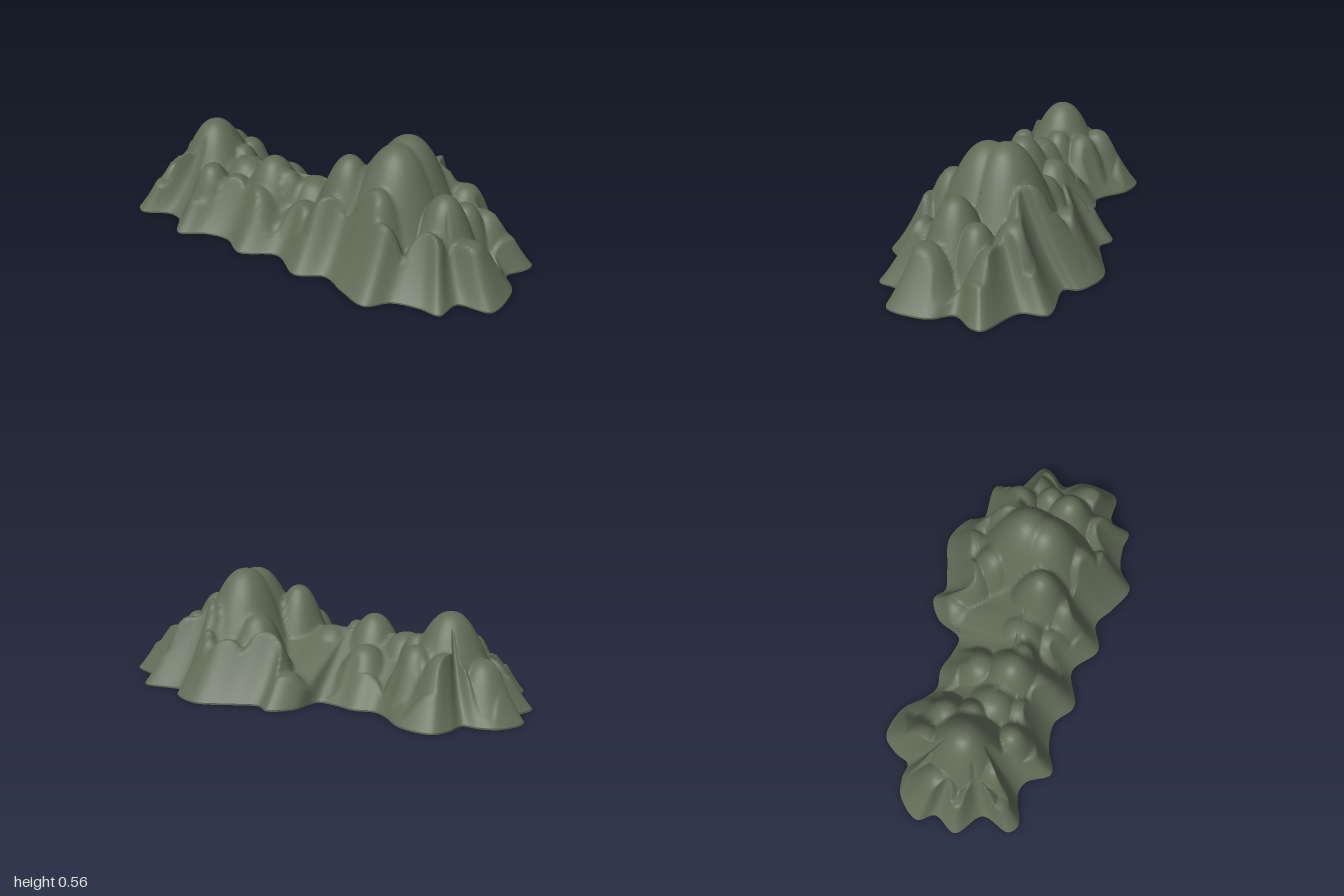
import * as THREE from 'three';

// Scalloped foot of the range, x,z pairs: left end, back, right end, front
const FOOT = [
  -1, .05, -.94, -.07, -.86, -.11, -.79, -.12, -.77, -.2, -.72, -.28, -.57, -.28, -.45, -.2, -.39, -.18,
  -.3, -.21, -.2, -.2, -.11, -.21, -.07, -.35, .02, -.43, .09, -.4, .2, -.45, .36, -.525, .51, -.48, .54, -.42,
  .75, -.45, .79, -.34, .97, -.27, .97, -.22, .92, -.12, .98, -.05, 1, .01, .99, .16, .85, .2, .83, .31,
  .74, .32, .62, .36, .54, .45, .4, .42, .28, .38, .16, .45, 0, .38, -.16, .47, -.28, .42, -.4, .45, -.51, .52,
  -.6, .43, -.67, .42, -.8, .49, -.85, .46, -.84, .32, -.97, .24, -.94, .12,
];

// Peaks and shoulders: x, z, height, radius
const PEAKS = [
  [.4, .01, .54, .2], [.4, -.08, .55, .2], [.2, .09, .46, .14], [.42, .18, .4, .13], [.49, -.23, .415, .13],
  [.66, .02, .38, .13], [-.61, .12, .425, .17], [-.2, .15, .355, .14],
];
const SHOULDERS = [
  // front flank
  [.19, .23, .31, .11], [.33, .27, .28, .1], [.5, .28, .3, .1], [.68, .18, .27, .1], [.82, .07, .23, .12],
  [.04, .22, .22, .11], [-.2, .27, .25, .12], [-.35, .26, .25, .11], [-.48, .29, .285, .1],
  [-.64, .29, .29, .11], [-.77, .26, .22, .11], [-.79, .08, .24, .12],
  // crest
  [-.38, .14, .29, .14], [-.47, .08, .31, .1], [0, .09, .28, .14], [-.1, .15, .31, .08], [.7, -.1, .3, .1],
  // back flank
  [.25, -.18, .36, .13], [.62, -.24, .31, .12], [.15, -.26, .3, .12], [.75, -.21, .24, .11],
  [.31, -.34, .26, .12], [.47, -.32, .3, .11], [-.67, -.06, .28, .12], [-.52, -.03, .29, .11], [-.24, 0, .24, .12],
];

const BASE = 0.008, RIM_STEPS = 376, RINGS = 52;
const { clamp, lerp } = THREE.MathUtils;

// Point of the crest line that a foot point climbs towards
function crestPoint(p) {
  const x = clamp(p.x, -.65, .62) * .9;
  return new THREE.Vector3(x, 0, lerp(.12, -.04, clamp((x + .15) / .6, 0, 1)));
}

// One low foothill behind every outward lobe of the foot
function footHills(points) {
  const reach = points.map(p => p.distanceTo(crestPoint(p)));
  const n = points.length, hills = [];
  points.forEach((p, i) => {
    if (reach[i] < reach[(i + 1) % n] || reach[i] < reach[(i + n - 1) % n]) return;
    const q = p.clone().lerp(crestPoint(p), .29);
    hills.push([q.x, q.z, .14, .1]);
  });
  return hills;
}

function createTerrain(rim, hills) {
  const mound = (list, power, x, z, top) => {
    for (const [px, pz, h, r] of list) {
      const t = Math.hypot(x - px, z - pz) / r;
      top = Math.max(top, h * Math.exp(-.65 * Math.pow(t, power)));
    }
    return top;
  };
  const positions = [], index = [], n = rim.length;
  for (let j = 0; j <= RINGS; j++) {
    const r = 1 - 1.03 * j / RINGS; // 1 at the foot, just past the crest at the end so both sides overlap
    for (const p of rim) {
      const c = crestPoint(p), q = c.clone().lerp(p, r);
      const inward = (1 - r) * p.distanceTo(c);
      let y = .27 * Math.pow(1 - r, .95);
      y = mound(PEAKS, 2.4, q.x, q.z, y);
      y = mound(SHOULDERS, 2.7, q.x, q.z, y);
      y = mound(hills, 2.7, q.x, q.z, y);
      // slopes flare out gently at the foot and steepen above it
      positions.push(q.x, BASE + Math.min(y, inward * (1.1 + 3 * inward)), q.z);
    }
  }
  for (let j = 0; j < RINGS; j++) {
    for (let i = 0; i < n; i++) {
      const k = (i + 1) % n, a = j * n + i, b = j * n + k;
      index.push(b, a, a + n, b, a + n, b + n);
    }
  }
  const g = new THREE.BufferGeometry();
  g.setAttribute('position', new THREE.Float32BufferAttribute(positions, 3));
  g.setIndex(index);
  g.computeVertexNormals();
  return g;
}

export function createModel() {
  const rock = new THREE.MeshStandardMaterial({ color: 0x606b56 });
  rock.name = 'mossy rock';
  const group = new THREE.Group();
  group.name = 'mountainRange';

  const points = [];
  for (let i = 0; i < FOOT.length; i += 2) points.push(new THREE.Vector3(FOOT[i], 0, FOOT[i + 1]));
  const rim = new THREE.CatmullRomCurve3(points, true, 'centripetal').getPoints(RIM_STEPS).slice(0, -1);

  // Slopes, peaks and foothills
  const slopes = new THREE.Mesh(createTerrain(rim, footHills(points)), rock);
  slopes.name = 'slopes';

  // Thin flat slab under the slopes
  const outline = new THREE.Shape(rim.map(p => new THREE.Vector2(p.x, -p.z)));
  const slab = new THREE.ExtrudeGeometry(outline, { depth: BASE, bevelEnabled: false });
  slab.rotateX(-Math.PI / 2);
  const base = new THREE.Mesh(slab, rock);
  base.name = 'base';

  group.add(slopes, base);
  return group;
}
